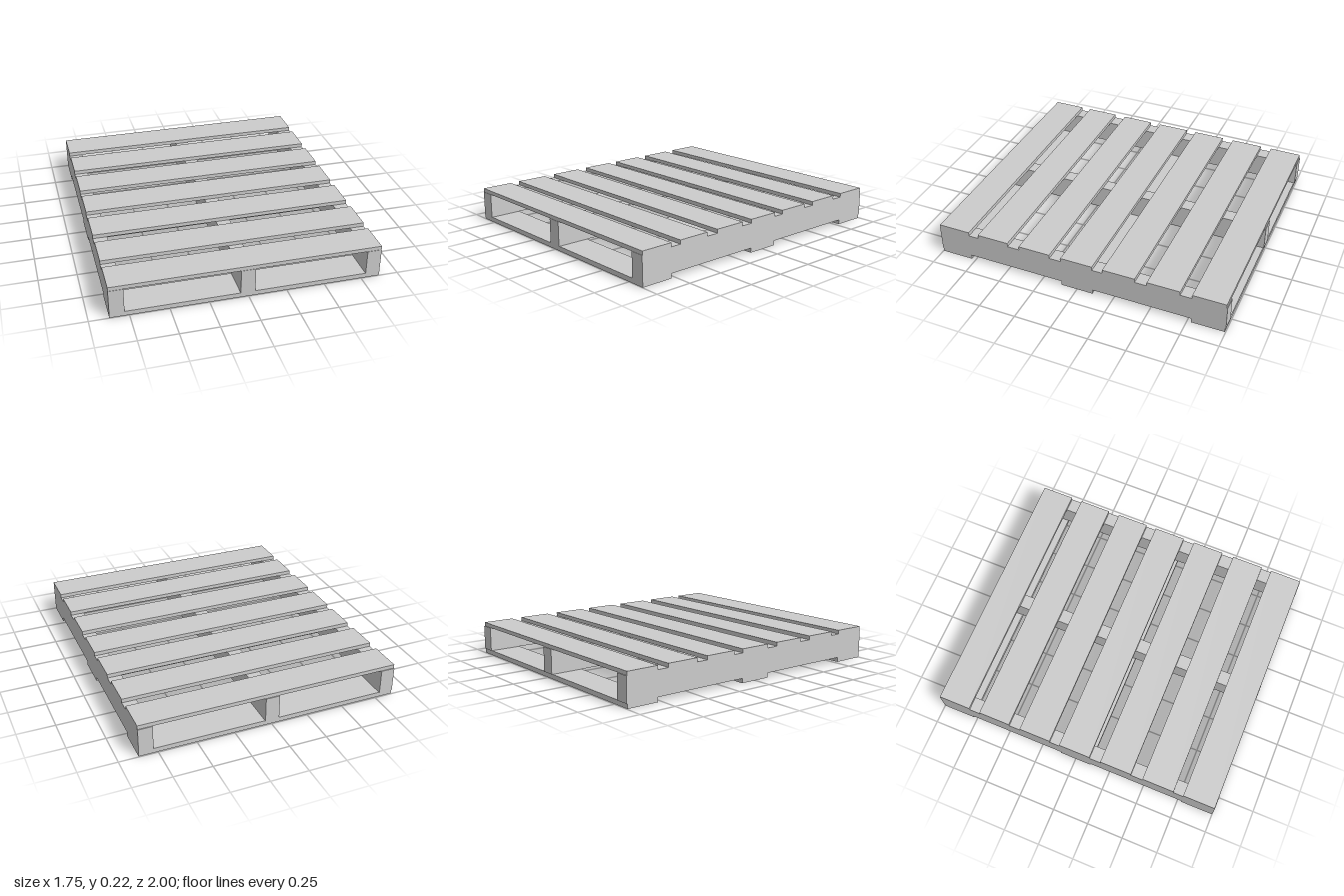
import * as THREE from 'three';

const WIDTH = 1.746;    // full board length across x
const BOARD = 0.219;    // board depth along z
const BOTTOM = 0.031;   // underside of the stringers
const DECK = 0.196;     // top of the stringers
const TOP = 0.222;      // top of the deck boards

export function createModel() {
  const pallet = new THREE.Group();
  pallet.name = 'pallet';
  const material = new THREE.MeshStandardMaterial({ color: 0xcccccc, flatShading: true });

  // Box spanning y0..y1, centred at x, z
  const plank = (name, w, d, y0, y1, x, z) => {
    const mesh = new THREE.Mesh(new THREE.BoxGeometry(w, y1 - y0, d), material);
    mesh.name = name;
    mesh.position.set(x, (y0 + y1) / 2, z);
    pallet.add(mesh);
  };

  // Three stringers running front to back
  [['rightStringer', -0.826], ['middleStringer', -0.004], ['leftStringer', 0.826]].forEach(
    ([name, x]) => plank(name, 0.094, 2, BOTTOM, DECK, x, 0));

  // Seven deck boards on top
  [-0.885, -0.589, -0.29, 0, 0.298, 0.6, 0.888].forEach(
    (z, i) => plank(`deckBoard${i + 1}`, WIDTH, BOARD, DECK, TOP, 0, z));

  // Three boards underneath
  [-0.885, 0, 0.888].forEach(
    (z, i) => plank(`bottomBoard${i + 1}`, WIDTH, BOARD, 0, BOTTOM, 0, z));

  return pallet;
}
